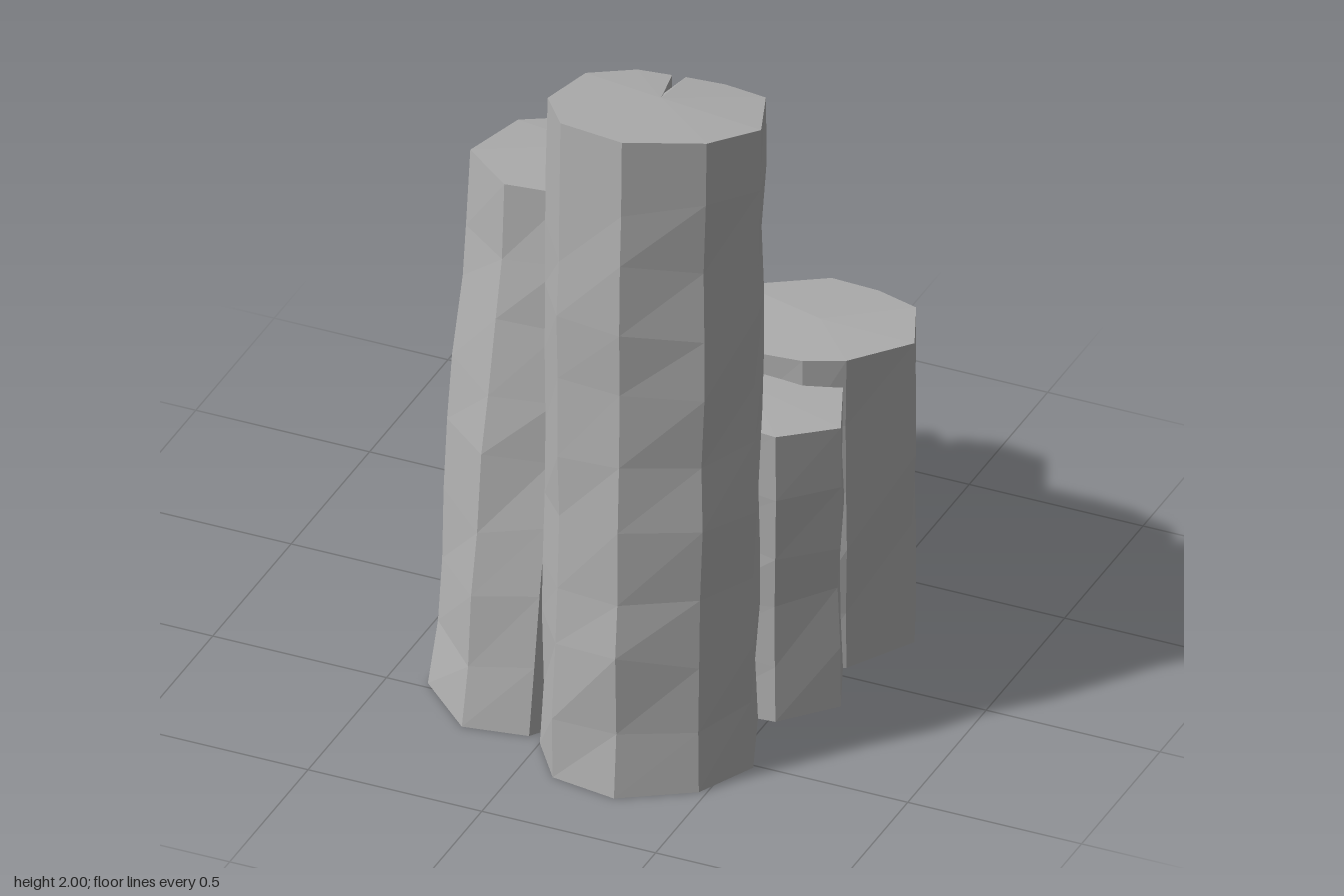
import * as THREE from 'three';

const stone = new THREE.MeshStandardMaterial({ color: 0xb2b2b2, flatShading: true });
stone.name = 'grey stone';

// outline: [x, z] of the top, clockwise from above; a third value marks a crack point.
// front/back: height of the top at its front and back edge; lean: offset of the base.
const columns = [
  { name: 'tallColumn', front: 2.0, back: 1.88, lean: [0, 0.05], outline: [
    [0.01, 0.36], [0.11, 0.25], [0.2, 0.23], [0.24, 0.37, 1], [0.235, 0.22], [0.34, 0.2], [0.47, 0.23],
    [0.56, 0.46], [0.48, 0.63], [0.29, 0.75], [0.1, 0.72], [0, 0.58]] },
  { name: 'secondColumn', front: 1.6, back: 1.48, lean: [-0.05, 0.16], outline: [
    [-0.32, 0.06], [-0.16, -0.1], [-0.12, -0.04, 1], [-0.13, -0.11], [0, -0.11], [0.12, -0.07],
    [0.2, 0.14], [0.13, 0.27], [0.01, 0.45], [-0.17, 0.48], [-0.34, 0.32]] },
  { name: 'thirdColumn', front: 1.2, back: 1.11, lean: [0, 0.08], outline: [
    [-0.5, -0.33], [-0.3, -0.48], [-0.25, -0.45], [-0.21, -0.33, 1], [-0.22, -0.47], [-0.1, -0.5],
    [0.03, -0.48], [0.11, -0.23], [0.03, -0.06], [-0.17, 0.1], [-0.35, 0.06], [-0.5, -0.1]] },
  { name: 'shortColumn', front: 0.8, back: 0.7, lean: [0, 0], outline: [
    [-0.69, -0.65], [-0.5, -0.81], [-0.36, -0.8], [-0.24, -0.75], [-0.17, -0.55], [-0.25, -0.38],
    [-0.37, -0.27], [-0.51, -0.26], [-0.69, -0.43]] },
  { name: 'backLeftColumn', front: 0.96, back: 0.88, lean: [0, 0], outline: [
    [0.15, -0.33], [0.33, -0.5], [0.47, -0.49], [0.6, -0.44], [0.69, -0.23], [0.58, -0.04],
    [0.48, 0.02], [0.32, 0.04], [0.15, -0.12]] },
  { name: 'sideColumn', front: 0.9, back: 0.89, slopeX: -0.13, lean: [0, 0], outline: [
    [0.12, -0.03], [0.3, -0.1], [0.57, -0.04], [0.645, 0.14], [0.52, 0.28], [0.3, 0.3], [0.14, 0.2]] },
];

// repeatable weathering value in -1..1
function wear(a, b, c) {
  const s = Math.sin(a * 12.99 + b * 78.23 + c * 37.72) * 43758.55;
  return (s - Math.floor(s)) * 2 - 1;
}

function columnGeometry({ outline, front, back, lean, slopeX = 0 }, seed) {
  const n = outline.length;
  const zs = outline.map(p => p[1]);
  const zMin = Math.min(...zs), zMax = Math.max(...zs);
  const cx = outline.reduce((s, p) => s + p[0], 0) / n;
  const cz = outline.reduce((s, p) => s + p[1], 0) / n;
  const topAt = (x, z) => back + (front - back) * Math.pow((z - zMin) / (zMax - zMin), 0.85) + slopeX * (x - cx);
  const rings = Math.max(4, Math.round(front / 0.2));
  const pos = [], index = [];

  // stacked outlines, slightly worn, leaning toward the base
  for (let j = 0; j <= rings; j++) {
    const t = j / rings, down = 1 - t;
    outline.forEach(([x, z, crack], i) => {
      let px = x, pz = z;
      if (crack) {
        const a = outline[i - 1], b = outline[i + 1], fade = 0.75 * down;
        px += ((a[0] + b[0]) / 2 - x) * fade;
        pz += ((a[1] + b[1]) / 2 - z) * fade;
      }
      const inner = j > 0 && j < rings;
      const k = 1 + (inner ? 0.03 * wear(i, j, seed) - 0.01 : 0);
      const y = topAt(x, z) * t + (inner ? 0.03 * wear(j, i, seed + 3) : 0);
      pos.push(cx + (px - cx) * k + lean[0] * down, y, cz + (pz - cz) * k + lean[1] * down);
    });
  }
  for (let j = 0; j < rings; j++) {
    for (let i = 0; i < n; i++) {
      const a = j * n + i, b = j * n + (i + 1) % n;
      index.push(b, a, a + n, b, a + n, b + n);
    }
  }

  // top and bottom fans
  const top = pos.length / 3, bottom = top + 1;
  pos.push(cx, topAt(cx, cz) + 0.005, cz, cx + lean[0], 0, cz + lean[1]);
  for (let i = 0; i < n; i++) {
    const k = (i + 1) % n;
    index.push(top, rings * n + k, rings * n + i, bottom, i, k);
  }
  const g = new THREE.BufferGeometry();
  g.setAttribute('position', new THREE.Float32BufferAttribute(pos, 3));
  g.setIndex(index);
  const flat = g.toNonIndexed();
  flat.computeVertexNormals();
  return flat;
}

export function createModel() {
  const group = new THREE.Group();
  group.name = 'stoneColumns';
  columns.forEach((c, i) => {
    const mesh = new THREE.Mesh(columnGeometry(c, i + 1), stone);
    mesh.name = c.name;
    group.add(mesh);
  });
  return group;
}
